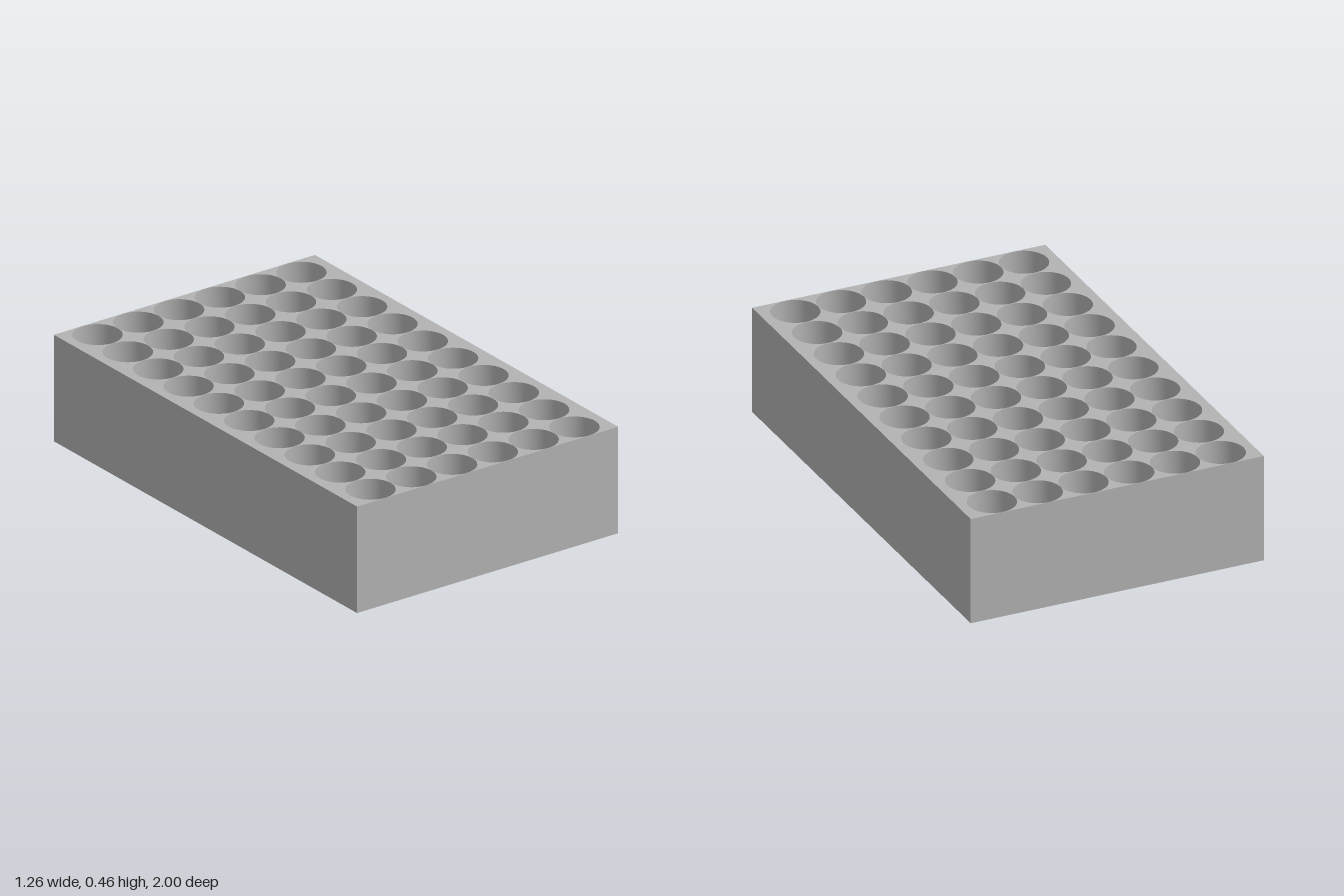
import * as THREE from 'three';
import { toCreasedNormals } from 'three/addons/utils/BufferGeometryUtils.js';

const W = 1.265, H = 0.457, D = 2;           // block size
const COLS = 6, ROWS = 10;                   // pocket grid
const PITCH_X = 0.1975, PITCH_Z = 0.2;
const R = 0.0985, DEPTH = 0.4, SIDES = 48;   // pocket size

export function createModel() {
  const group = new THREE.Group();
  group.name = 'pocketTray';
  const grey = new THREE.MeshStandardMaterial({ color: 0xb3b3b3 });
  grey.name = 'grey';

  const add = (name, geometry) => {
    const mesh = new THREE.Mesh(geometry, grey);
    mesh.name = name;
    group.add(mesh);
    return mesh;
  };

  // Pocket centres
  const centres = [];
  for (let i = 0; i < COLS; i++) {
    for (let j = 0; j < ROWS; j++) {
      centres.push([(i - (COLS - 1) / 2) * PITCH_X, (j - (ROWS - 1) / 2) * PITCH_Z]);
    }
  }

  // Outer walls and underside: a box without its top face
  const box = new THREE.BoxGeometry(W, H, D);
  const index = Array.from(box.index.array);
  index.splice(12, 6);
  box.setIndex(index);
  box.clearGroups();
  box.translate(0, H / 2, 0);
  add('outerWalls', box);

  // Top plate pierced by the pocket openings
  const plate = new THREE.Shape([
    new THREE.Vector2(-W / 2, -D / 2), new THREE.Vector2(W / 2, -D / 2),
    new THREE.Vector2(W / 2, D / 2), new THREE.Vector2(-W / 2, D / 2),
  ]);
  for (const [x, z] of centres) {
    const ring = [];
    for (let k = 0; k < SIDES; k++) {
      const a = (k / SIDES) * Math.PI * 2;
      ring.push(new THREE.Vector2(x + R * Math.cos(a), z + R * Math.sin(a)));
    }
    plate.holes.push(new THREE.Path(ring));
  }
  const top = new THREE.ShapeGeometry(plate);
  top.rotateX(-Math.PI / 2);
  top.translate(0, H, 0);
  add('topPlate', top);

  // Round flat-bottomed pockets, facing inward
  const profile = [
    new THREE.Vector2(R, H),
    new THREE.Vector2(R, H - DEPTH),
    new THREE.Vector2(0, H - DEPTH),
  ];
  const pocket = toCreasedNormals(new THREE.LatheGeometry(profile, SIDES), 0.6);
  for (const [x, z] of centres) add('pocket', pocket).position.set(x, 0, z);

  return group;
}
